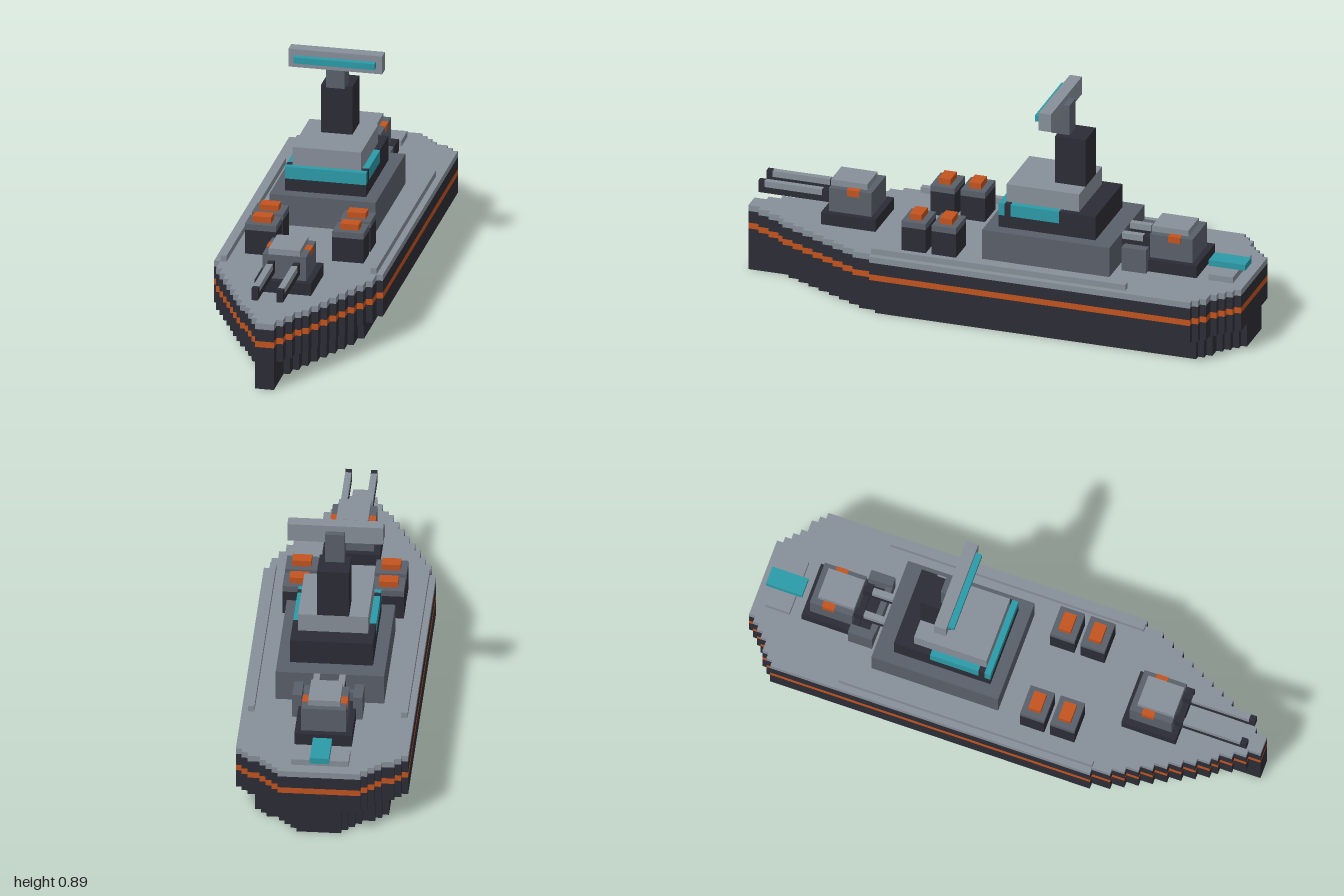
import * as THREE from 'three';

const U = 2 / 83; // one block

const mat = (name, color) => {
  const m = new THREE.MeshStandardMaterial({ color });
  m.name = name;
  return m;
};

export function createModel() {
  const ship = new THREE.Group();
  ship.name = 'warship';
  const light = mat('lightGrey', 0x87909a);
  const mid = mat('midGrey', 0x5a606b);
  const dark = mat('darkHull', 0x2c2c36);
  const orange = mat('orange', 0xc3541f);
  const teal = mat('teal', 0x2c9ba8);

  // Box from its limits, in blocks
  function box(name, material, x0, x1, y0, y1, z0, z1, parent = ship) {
    const g = new THREE.BoxGeometry((x1 - x0) * U, (y1 - y0) * U, (z1 - z0) * U);
    const m = new THREE.Mesh(g, material);
    m.position.set((x0 + x1) / 2 * U, (y0 + y1) / 2 * U, (z0 + z1) / 2 * U);
    m.name = name;
    parent.add(m);
  }
  const slab = (name, material, x, y0, y1, z0, z1, parent) =>
    box(name, material, -x, x, y0, y1, z0, z1, parent);
  function pair(name, material, x0, x1, y0, y1, z0, z1, parent) {
    box(name + 'Left', material, x0, x1, y0, y1, z0, z1, parent);
    box(name + 'Right', material, -x1, -x0, y0, y1, z0, z1, parent);
  }

  // Stepped hull outline: half width of every one-block row, stern to bow
  function halfWidth(row) {
    if (row < 6) return 13.5 - Math.round(7 * (6 - row) / 6);
    if (row >= 59) return 13.5 - Math.ceil(12 * Math.pow((row - 58) / 24, 1.2));
    return 13.5;
  }
  function hullLayer(name, material, y0, y1, inset) {
    const side = [];
    for (let row = 0; row < 83; row++) {
      const w = Math.max(1.5, halfWidth(row) - inset);
      const last = side[side.length - 1];
      if (last && last[0] === w) last[1] = row - 40.5;
      else side.push([w, row - 41.5], [w, row - 40.5]);
    }
    const right = side.map(([w, z]) => new THREE.Vector2(w * U, -z * U));
    const left = side.map(([w, z]) => new THREE.Vector2(-w * U, -z * U)).reverse();
    const g = new THREE.ExtrudeGeometry(new THREE.Shape([...right, ...left]),
      { depth: (y1 - y0) * U, bevelEnabled: false });
    g.rotateX(-Math.PI / 2);
    const m = new THREE.Mesh(g, material);
    m.position.y = y0 * U;
    m.name = name;
    ship.add(m);
  }
  hullLayer('keel', dark, 0, 4, 3);
  hullLayer('lowerHull', dark, 4, 7, 0);
  hullLayer('hullStripe', orange, 7, 8, 0);
  hullLayer('upperHull', dark, 8, 10, 0);
  hullLayer('deck', light, 10, 11, 0);
  pair('rail', light, 11.5, 12.5, 11, 12, -24.5, 17.5);

  // Deck house and bridge
  slab('deckHouse', mid, 8.5, 11, 16, -20.5, 0.5);
  slab('bridgeBase', dark, 6.5, 16, 18, -17.5, -1.5);
  slab('bridgeCore', dark, 5.5, 18, 20, -17.5, -2.5);
  pair('bridgeRearSide', dark, 5.5, 6.5, 18, 20, -17.5, -11.5);
  pair('bridgeCorner', dark, 5.5, 6.5, 18, 20, -3.5, -2.5);
  pair('sideWindow', teal, 5.5, 6.5, 18, 20, -11.5, -3.5);
  slab('frontWindow', teal, 6.5, 18, 20, -2.5, -1.5);
  slab('bridgeRoof', light, 5.5, 20, 23, -14.5, -2.5);

  // Mast and radar
  slab('mast', dark, 2.5, 23, 31, -14.5, -9.5);
  slab('radarNeck', mid, 1.5, 31, 34, -11.5, -8.5);
  slab('radarBracket', mid, 1.5, 34, 36, -11.5, -10.5);
  slab('radarBar', light, 7.5, 34, 37, -10.5, -8.5);
  slab('radarPanel', teal, 6.5, 35, 36, -8.5, -7.5);

  // Missile boxes
  for (const z of [4.5, 9.5]) {
    pair('launcher', dark, 4.5, 9.5, 11, 15, z, z + 4);
    pair('launcherCap', mid, 4.5, 9.5, 15, 16, z, z + 4);
    pair('launcherHatch', orange, 5.5, 8.5, 16, 17, z + 1, z + 3);
  }

  // Gun turrets, both aimed at the bow
  function turret(name, z) {
    const t = new THREE.Group();
    t.name = name;
    slab('turretBase', dark, 4.5, 11, 13, -4.5, 4.5, t);
    slab('turretBody', mid, 3.5, 13, 17, -3.5, 3.5, t);
    slab('turretRoof', light, 2.5, 17, 18, -2.5, 3.5, t);
    pair('turretMark', orange, 2.5, 3.56, 16, 17.06, -1.5, 0.5, t);
    pair('barrel', dark, 1.5, 2.5, 14, 15, 3.5, 15.5, t);
    pair('barrelRoot', dark, 1.5, 2.5, 15, 16, 3.5, 5, t);
    pair('barrelTop', light, 1.5, 2.5, 15, 16, 5, 14.5, t);
    pair('muzzle', dark, 1.5, 2.5, 15, 16, 14.5, 15.5, t);
    t.position.z = z * U;
    ship.add(t);
  }
  turret('frontTurret', 24);
  turret('rearTurret', -29);

  // Open housing between rear turret and deck house
  pair('housingPost', mid, 4, 5.5, 11, 15, -25.5, -21.5);
  slab('housingFloor', dark, 4, 11, 12.5, -24.5, -22.5);
  slab('housingWall', mid, 4, 11, 14, -22.5, -21.5);

  // Stern pad
  slab('sternPad', light, 4.5, 11, 12, -39.5, -35.5);
  slab('sternLauncher', teal, 1.5, 12, 13, -40.5, -34.5);
  return ship;
}
